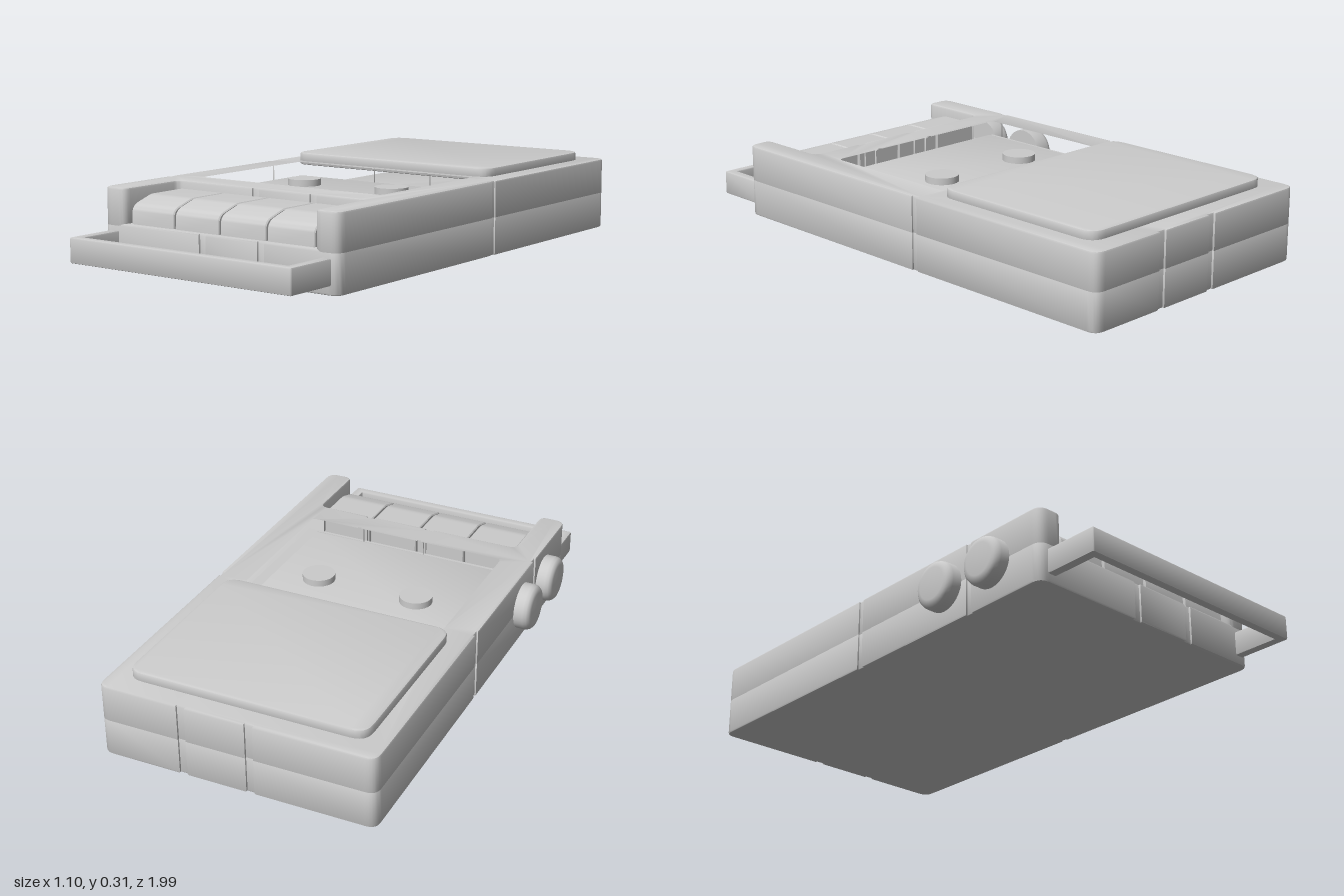
import * as THREE from 'three';
import { toCreasedNormals } from 'three/addons/utils/BufferGeometryUtils.js';

const CX = 0.03; // centre line of the case
const material = new THREE.MeshStandardMaterial({ color: 0xcccccc });

function add(group, name, geometry, crease = 0.6) {
  const mesh = new THREE.Mesh(toCreasedNormals(geometry, crease), material);
  mesh.name = name;
  group.add(mesh);
  return mesh;
}

// Closed plan outline from corners [x, z, radius]
function trace(target, corners) {
  const n = corners.length;
  corners.forEach(([x, z, r = 0], i) => {
    const here = new THREE.Vector2(x, -z);
    const toward = ([px, pz]) => new THREE.Vector2(px, -pz).sub(here).setLength(r).add(here);
    const a = toward(corners[(i + n - 1) % n]);
    const b = toward(corners[(i + 1) % n]);
    if (i === 0) target.moveTo(a.x, a.y);
    else target.lineTo(a.x, a.y);
    if (r > 0) target.quadraticCurveTo(here.x, here.y, b.x, b.y);
  });
  target.closePath();
  return target;
}

const rect = (x0, x1, z0, z1, r) => [[x0, z0, r], [x1, z0, r], [x1, z1, r], [x0, z1, r]];

// Small seam groove cut in an edge running from one corner to the next
function seamX(x, z, dir, inward) {
  const w = 0.015 * dir, d = 0.008 * inward;
  return [[x - w, z], [x - w, z + d], [x + w, z + d], [x + w, z]];
}
function seamZ(x, z, dir, inward) {
  const w = 0.012 * dir, d = 0.006 * inward;
  return [[x, z - w], [x + d, z - w], [x + d, z + w], [x, z + w]];
}

// Horizontal slab between two heights, bevelled inside its outline
function slab(corners, y0, y1, bevel, hole) {
  const shape = trace(new THREE.Shape(), corners);
  if (hole) shape.holes.push(trace(new THREE.Path(), hole));
  const g = new THREE.ExtrudeGeometry(shape, {
    depth: y1 - y0 - 2 * bevel, bevelEnabled: bevel > 0, bevelThickness: bevel,
    bevelSize: bevel, bevelOffset: -bevel, bevelSegments: 2, curveSegments: 6,
  });
  g.rotateX(-Math.PI / 2);
  g.translate(0, y0 + bevel, 0);
  return g;
}

export function createModel() {
  const group = new THREE.Group();
  const x0 = -0.49, x1 = 0.545, zb = -0.998, zf = 0.79;
  const seams = [-0.03, 0.225];

  // Back and side edges shared by both halves of the case
  const rearEdges = [
    [x0, zb, 0.04],
    ...seams.flatMap((x) => seamX(x, zb, 1, 1)),
    [x1, zb, 0.04],
    ...seamZ(x1, -0.15, 1, -1),
    [x1, zf, 0.04],
  ];
  const leftSeams = [...seamZ(x0, 0.44, -1, 1), ...seamZ(x0, -0.15, -1, 1)];

  // Lower case, full plan
  add(group, 'lowerCase', slab([
    ...rearEdges,
    ...[...seams].reverse().flatMap((x) => seamX(x, zf, -1, -1)),
    [x0, zf, 0.04],
    ...leftSeams,
  ], 0, 0.148, 0.008));

  // Upper case with the key bay open at the front and the tape well
  const keyL = -0.388, keyR = 0.447, keyBack = 0.505;
  add(group, 'upperCase', slab([
    ...rearEdges,
    [keyR, zf, 0.03],
    [keyR, keyBack, 0.03],
    ...[...seams].reverse().flatMap((x) => seamX(x, keyBack, -1, -1)),
    [keyL, keyBack, 0.03],
    [keyL, zf, 0.03],
    [x0, zf, 0.04],
    ...leftSeams,
  ], 0.132, 0.275, 0.008, [
    [-0.38, -0.187, 0.03],
    ...seams.flatMap((x) => seamX(x, -0.187, 1, -1)),
    [0.437, -0.187, 0.03],
    [0.437, 0.4, 0.03],
    ...[...seams].reverse().flatMap((x) => seamX(x, 0.4, -1, 1)),
    [-0.38, 0.4, 0.03],
  ]));

  // Tape well floor, door and reel hubs
  add(group, 'wellFloor', slab(rect(-0.41, 0.465, -0.21, 0.43, 0), 0.14, 0.205, 0));
  add(group, 'tapeDoor', slab(rect(-0.352, 0.41, -0.17, 0.388, 0.01), 0.2, 0.225, 0.005));
  for (const side of [-1, 1]) {
    const hub = add(group, 'reelHub', new THREE.CylinderGeometry(0.062, 0.062, 0.03, 32));
    hub.position.set(CX + side * 0.2, 0.235, 0.045);
  }

  // Raised speaker cover
  add(group, 'speakerCover', slab(rect(-0.418, 0.476, -0.918, -0.212, 0.06), 0.26, 0.307, 0.008));

  // Piano keys with sloped fronts
  const profile = new THREE.Shape();
  profile.moveTo(0.51, 0.14);
  profile.lineTo(0.77, 0.14);
  profile.lineTo(0.768, 0.195);
  profile.quadraticCurveTo(0.762, 0.216, 0.74, 0.223);
  profile.lineTo(0.68, 0.242);
  profile.quadraticCurveTo(0.67, 0.245, 0.65, 0.245);
  profile.lineTo(0.51, 0.245);
  profile.closePath();
  const pitch = 0.204, bevel = 0.004;
  for (let i = 0; i < 4; i++) {
    const g = new THREE.ExtrudeGeometry(profile, {
      depth: pitch - 0.006 - 2 * bevel, bevelThickness: bevel, bevelSize: bevel,
      bevelOffset: -bevel, bevelSegments: 1, curveSegments: 5,
    });
    g.rotateY(-Math.PI / 2); // profile x becomes z, depth runs toward -x
    const key = add(group, 'key', g);
    key.position.x = CX + (i - 1) * pitch - 0.003 - bevel;
  }

  // Carrying handle, a flat U in front of the case
  const hl = -0.455, hr = 0.515, bar = 0.037;
  add(group, 'handle', slab([
    [hl, 0.77], [hl, 0.995, 0.008], [hr, 0.995, 0.008], [hr, 0.77],
    [hr - bar, 0.77], [hr - bar, 0.962], [hl + bar, 0.962], [hl + bar, 0.77],
  ], 0.032, 0.123, 0.006));

  // Round control knobs on the right side
  const knobProfile = [[0, -0.02], [0.088, -0.02], [0.088, 0.035], [0.084, 0.048], [0.075, 0.057], [0.06, 0.06], [0, 0.06]]
    .map(([r, h]) => new THREE.Vector2(r, h));
  for (const z of [0.315, 0.555]) {
    const knob = add(group, 'knob', new THREE.LatheGeometry(knobProfile, 32));
    knob.rotation.z = Math.PI / 2;
    knob.position.set(x0, 0.144, z);
  }

  return group;
}
